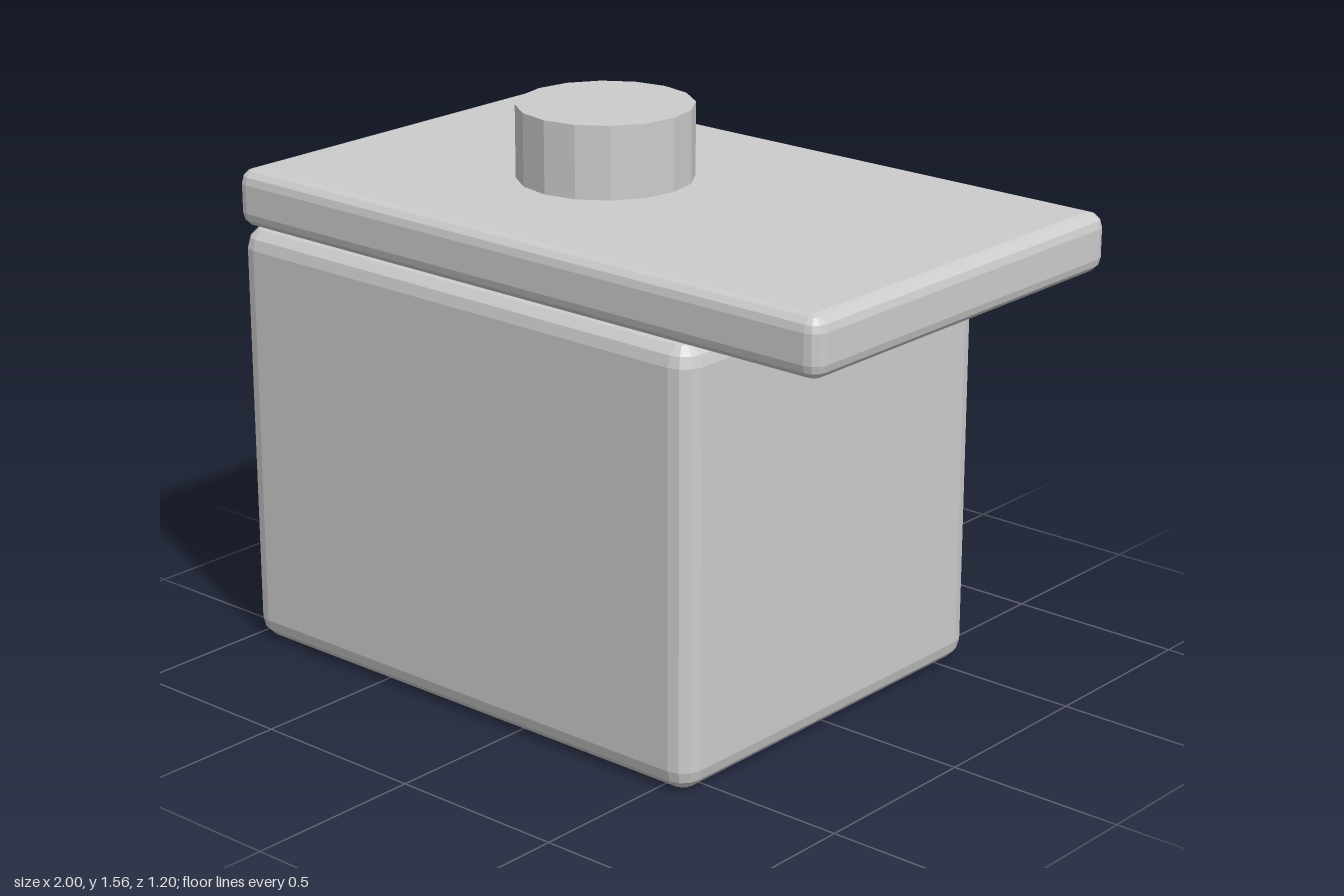
import * as THREE from 'three';
import { ConvexGeometry } from 'three/addons/geometries/ConvexGeometry.js';

// Box with faceted rounded edges: hull of eight sphere octants.
function bevelledBox(w, h, d, r, steps = 3) {
  const pts = [];
  for (const sx of [-1, 1]) for (const sy of [-1, 1]) for (const sz of [-1, 1]) {
    for (let i = 0; i <= steps; i++) {
      const lat = (i / steps) * Math.PI / 2;
      const around = i === steps ? 0 : steps; // a single point at the pole
      for (let j = 0; j <= around; j++) {
        const lon = (j / steps) * Math.PI / 2;
        pts.push(new THREE.Vector3(
          sx * (w / 2 - r + r * Math.cos(lat) * Math.cos(lon)),
          sy * (h / 2 - r + r * Math.sin(lat)),
          sz * (d / 2 - r + r * Math.cos(lat) * Math.sin(lon))
        ));
      }
    }
  }
  return new ConvexGeometry(pts);
}

export function createModel() {
  const model = new THREE.Group();
  model.name = 'model';
  const grey = new THREE.MeshStandardMaterial({ color: 0xcccccc, flatShading: true });
  grey.name = 'light grey';

  const add = (name, geometry, x, y) => {
    const mesh = new THREE.Mesh(geometry, grey);
    mesh.name = name;
    mesh.position.set(x, y, 0);
    model.add(mesh);
  };

  // Main block
  add('body', bevelledBox(1.6, 1.2, 1.2, 0.06), -0.2, 0.6);
  // Top slab overhanging on the left
  add('topSlab', bevelledBox(2, 0.16, 1.2, 0.04), 0, 1.28);
  // Round cap above the block's centre
  add('cap', new THREE.CylinderGeometry(0.24, 0.24, 0.2, 16), -0.2, 1.46);

  return model;
}
